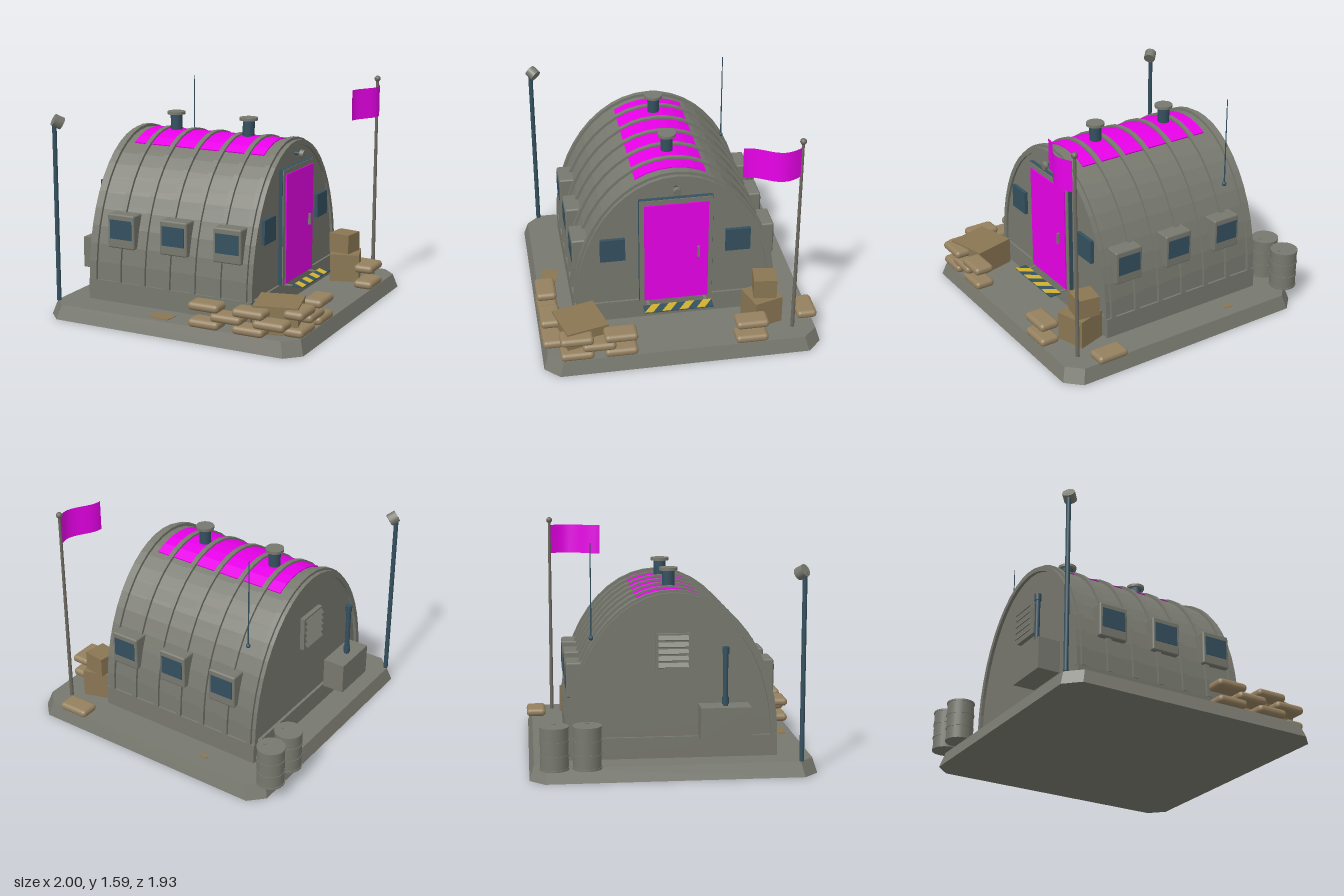
import * as THREE from 'three';
import { RoundedBoxGeometry } from 'three/addons/geometries/RoundedBoxGeometry.js';

const paint = (name, color) => Object.assign(new THREE.MeshStandardMaterial({ color }), { name });

export function createModel() {
  const grey = paint('concrete grey', 0x77786e);
  const poleGrey = paint('pole grey', 0x6c695f);
  const teal = paint('dark teal', 0x34505f);
  const magenta = paint('magenta', 0xff00ff);
  const sand = paint('sandbag tan', 0x94805f);
  const wood = paint('crate tan', 0x8a7653);
  const yellow = paint('hazard yellow', 0xd0b030);
  const cloth = paint('flag magenta', 0xff00ff);
  cloth.side = THREE.DoubleSide;

  const model = new THREE.Group();
  const add = (name, geo, mat, x = 0, y = 0, z = 0, rx = 0, ry = 0, rz = 0) => {
    const mesh = new THREE.Mesh(geo, mat);
    mesh.name = name;
    mesh.position.set(x, y, z);
    mesh.rotation.set(rx, ry, rz);
    model.add(mesh);
    return mesh;
  };
  const box = (w, h, d) => new THREE.BoxGeometry(w, h, d);
  const rod = (r, h, n = 16, r2 = r) => new THREE.CylinderGeometry(r, r2, h, n);
  // box given by its limits on each axis
  const block = (name, mat, x0, x1, y0, y1, z0, z1) =>
    add(name, box(x1 - x0, y1 - y0, z1 - z0), mat, (x0 + x1) / 2, (y0 + y1) / 2, (z0 + z1) / 2);

  // Base slab: chamfered corners, sides leaning inwards
  const c = 0.1, h = 0.96;
  const outline = new THREE.Shape([
    [-h + c, -h], [h - c, -h], [h, -h + c], [h, h - c], [h - c, h], [-h + c, h], [-h, h - c], [-h, -h + c],
  ].map(([x, y]) => new THREE.Vector2(x, y)));
  const slab = new THREE.ExtrudeGeometry(outline, { depth: 0.1, bevelEnabled: false }).rotateX(-Math.PI / 2);
  const sp = slab.attributes.position;
  for (let i = 0; i < sp.count; i++) {
    const s = sp.getY(i) > 0.05 ? 0.968 : 1;
    sp.setXYZ(i, sp.getX(i) * s, sp.getY(i), sp.getZ(i) * s);
  }
  slab.computeVertexNormals();
  add('baseSlab', slab, grey, 0.04);

  // Arched hut
  const FLOOR = 0.245;
  const arc = (grow, from, to, n) => Array.from({ length: n + 1 }, (_, i) => {
    const a = from + (to - from) * i / n;
    return new THREE.Vector2(Math.sin(a) * (0.69 + grow), FLOOR + Math.cos(a) * (0.967 + grow));
  });
  const alongX = (points, x0, x1) => new THREE.ExtrudeGeometry(new THREE.Shape(points),
    { depth: x1 - x0, bevelEnabled: false }).rotateY(Math.PI / 2).translate(x0, 0, 0);
  const band = (grow, inner, from, to, n, x0, x1) =>
    alongX([...arc(grow, from, to, n), ...arc(inner, from, to, n).reverse()], x0, x1);
  const Q = Math.PI / 2;
  block('plinth', grey, -0.71, 0.55, 0.1, FLOOR, -0.705, 0.705);
  add('hutShell', alongX(arc(0, -Q, Q, 24), -0.69, 0.535), grey);
  for (const x of [-0.712, 0.527]) add('endRim', band(0.004, -0.03, -Q, Q, 24, x, x + 0.025), grey);
  for (let i = 0; i < 7; i++) {
    const x = -0.665 + i * 0.194;
    add('rib', band(0.02, -0.01, -Q, Q, 24, x - 0.018, x + 0.018), grey);
  }
  add('roofPanel', band(0.007, -0.002, -0.384, 0.331, 6, -0.59, 0.425), magenta);

  // Side windows in projecting boxes
  for (const s of [-1, 1]) for (const x of [-0.445, -0.035, 0.372]) {
    add('windowBox', new RoundedBoxGeometry(0.21, 0.24, 0.14, 1, 0.012), grey, x, 0.608, s * 0.635);
    add('windowGlass', box(0.17, 0.135, 0.006), teal, x, 0.622, s * 0.706);
  }

  // Door end
  block('doorFrame', teal, 0.53, 0.564, FLOOR, 1.055, -0.255, 0.255);
  block('doorTrim', grey, 0.564, 0.57, FLOOR, 1.053, -0.253, 0.253);
  block('door', magenta, 0.565, 0.579, 0.255, 1.017, -0.222, 0.22);
  block('doorHandle', grey, 0.579, 0.597, 0.59, 0.67, -0.16, -0.145);
  for (const z of [-0.435, 0.435]) add('endWindow', box(0.03, 0.17, 0.172), teal, 0.545, 0.677, z);
  add('doorLampArm', rod(0.012, 0.07, 8), teal, 0.56, 1.125, 0, 0, 0, Q);
  add('doorLamp', rod(0.028, 0.03, 16), grey, 0.592, 1.125, 0, 0, 0, -Q - 0.15);

  // Hazard-striped threshold plate
  block('thresholdPlate', teal, 0.63, 0.715, 0.243, 0.25, -0.24, 0.24);
  for (let k = 0; k < 4; k++) {
    const z = -0.24 + k * 0.12;
    const stripe = new THREE.Shape([[0.63, -z], [0.63, -z - 0.06], [0.715, -z - 0.12], [0.715, -z - 0.06]]
      .map(([a, b]) => new THREE.Vector2(a, b)));
    add('hazardStripe', new THREE.ExtrudeGeometry(stripe, { depth: 0.005, bevelEnabled: false })
      .rotateX(-Q), yellow, 0, 0.248);
  }
  for (const z of [-0.2, 0.2]) block('thresholdBracket', grey, 0.54, 0.64, 0.236, 0.243, z - 0.01, z + 0.01);

  // Roof vents
  for (const x of [-0.398, 0.18]) {
    add('ventPipe', rod(0.042, 0.16, 12), teal, x, 1.26);
    add('ventCap', rod(0.064, 0.02, 20), grey, x, 1.337);
  }

  // Louvred vent on the rear end
  block('louvreFrame', grey, -0.722, -0.68, 0.7, 0.945, -0.115, 0.115);
  for (let i = 0; i < 5; i++) add('louvreSlat', box(0.035, 0.007, 0.2), grey, -0.732, 0.735 + i * 0.046, 0, 0, 0, 0.9);

  // Generator with exhaust
  block('generator', grey, -0.885, -0.727, 0.255, 0.475, 0.165, 0.5);
  add('exhaust', rod(0.017, 0.4), teal, -0.81, 0.67, 0.335);
  for (const y of [0.51, 0.845]) add('exhaustCollar', rod(0.023, 0.045), teal, -0.81, y, 0.335);

  // Aerial
  add('aerial', rod(0.003, 0.64, 6, 0.005), teal, -0.545, 1.21, -0.535);
  add('aerialFoot', new THREE.SphereGeometry(0.016, 10, 8), teal, -0.545, 0.895, -0.535);

  // Lamp post
  add('lampPost', rod(0.016, 1.25, 10), teal, -0.875, 0.725, 0.84);
  add('lampPostTop', rod(0.019, 0.02, 10), grey, -0.875, 1.35, 0.84);
  const lamp = add('lampHead', rod(0.043, 0.065, 14), grey, -0.858, 1.36, 0.822);
  lamp.quaternion.setFromUnitVectors(new THREE.Vector3(0, 1, 0), new THREE.Vector3(0.62, -0.48, -0.62).normalize());

  // Flagpole and waving flag
  add('flagpole', rod(0.01, 1.45, 10, 0.014), poleGrey, 0.832, 0.825, -0.775);
  add('poleBall', new THREE.SphereGeometry(0.022, 14, 10), poleGrey, 0.832, 1.563, -0.775);
  const flag = new THREE.PlaneGeometry(0.37, 0.215, 16, 1).rotateY(-Q);
  const fp = flag.attributes.position;
  for (let i = 0; i < fp.count; i++) {
    const t = fp.getZ(i) / 0.37 + 0.5;
    fp.setX(i, 0.043 * Math.sin(t * 5) - 0.012 * t + 0.025 * t * (1 - t));
  }
  flag.computeVertexNormals();
  add('flag', flag, cloth, 0.845, 1.417, -0.58);

  // Fuel drums
  for (const z of [-0.797, -0.583]) {
    add('drum', rod(0.093, 0.28, 24), grey, -0.905, 0.242, z);
    for (const y of [0.106, 0.195, 0.29, 0.38]) add('drumHoop', rod(0.097, 0.012, 24), grey, -0.905, y, z);
    add('drumBung', rod(0.013, 0.008, 10), grey, -0.855, 0.388, z);
  }

  // Crates
  add('flatCrate', box(0.3, 0.19, 0.3), wood, 0.75, 0.195, 0.69, 0, 0.255);
  add('lowerCrate', box(0.21, 0.2, 0.21), wood, 0.69, 0.2, -0.585, 0, 0.3);
  add('upperCrate', box(0.16, 0.14, 0.16), wood, 0.67, 0.37, -0.605, 0, -0.15);

  // Sandbag walls: three courses, the middle one shifted by half a bag
  const bag = (x, row, z, turned) =>
    add('sandbag', new RoundedBoxGeometry(0.226, 0.058, 0.142, 3, 0.027), sand, x, 0.132 + row * 0.058, z, 0, turned ? Q : 0);
  for (const row of [0, 2]) {
    for (const x of [0.32, 0.642]) bag(x, row, 0.888, false);
    for (const z of [0.437, 0.735, -0.462]) bag(0.915, row, z, true);
  }
  bag(0.482, 1, 0.888, false);
  bag(0.79, 1, 0.888, false);
  bag(0.915, 1, 0.586, true);
  bag(0.665, 0, -0.898, false);

  // Dirt patches on the slab
  add('dirtPatch', box(0.155, 0.006, 0.11), wood, -0.05, 0.101, 0.83, 0, -0.08);
  add('dirtPatch', box(0.06, 0.006, 0.035), wood, -0.385, 0.101, -0.825, 0, -0.2);

  return model;
}
